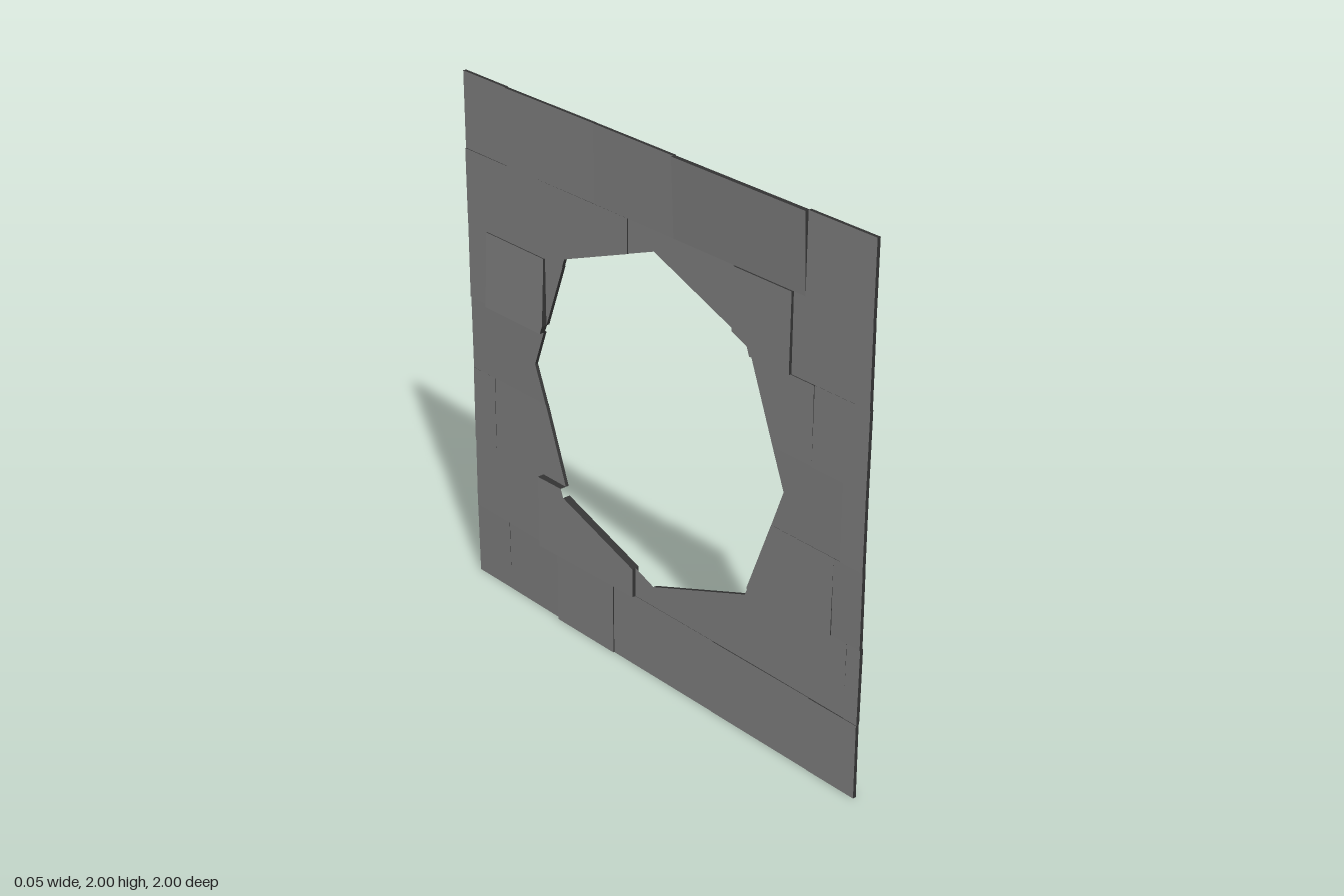
import * as THREE from 'three';

// Octagonal opening, corners on the axes and on the diagonals
const CY = 1, COURSE = 2 / 7, SIDES = 8;
const corners = Array.from({ length: SIDES }, (_, i) => {
  const a = i * 2 * Math.PI / SIDES, r = i % 2 ? 0.652 : 0.636;
  return [r * Math.cos(a), CY + r * Math.sin(a)];
});
const edges = corners.map((a, i) => {
  const b = corners[(i + 1) % SIDES];
  return ([z, y]) => (b[1] - a[1]) * (z - a[0]) - (b[0] - a[0]) * (y - a[1]); // > 0 outside
});

// Joint positions along z in each course, bottom to top
const joints = [
  [0.78, 0.31, -0.21, -0.52, -0.81],
  [0.94, 0.565, -0.095, -0.6],
  [0.87, -0.875],
  [0.9, -0.955],
  [0.76, -0.57, -0.89],
  [0.935, 0.655, 0.39, -0.13],
  [0.71, 0.1, -0.295, -0.765],
];

// Blocks standing out at the back: 'course,index': [back x, slope along z, slope along y, thickness]
const proud = {
  '0,3': [-0.003, 0.005, 0.005, 0.017],
  '1,3': [-0.017, 0.027, 0, 0.03],
  '4,2': [-0.008, 0, 0.048, 0.023],
  '5,2': [-0.005, 0, 0.01, 0.018],
  '6,1': [-0.003, 0, -0.042, 0.018],
};

let seed = 7;
const rand = () => (seed = (seed * 16807) % 2147483647) / 2147483647 - 0.5;

// Keeps the part of a convex polygon where f >= 0
function clip(poly, f) {
  const out = [];
  poly.forEach((p, i) => {
    const q = poly[(i + 1) % poly.length], a = f(p), b = f(q);
    if (a >= 0) out.push(p);
    if (a * b < 0) {
      const t = a / (a - b);
      out.push([p[0] + (q[0] - p[0]) * t, p[1] + (q[1] - p[1]) * t]);
    }
  });
  return out;
}

// Convex pieces of a rectangle with the opening taken away
function cutPieces(rect) {
  const pieces = [];
  let rest = rect;
  for (const e of edges) {
    const piece = clip(rest, e);
    if (piece.length > 2) pieces.push(piece);
    rest = clip(rest, p => -e(p));
    if (rest.length < 3) break;
  }
  return pieces;
}

// Thin block from the plane x = back([z, y]) towards +x; group 0 is its faces, group 1 its ends
function blockGeometry(z0, z1, y0, y1, back, thickness) {
  const faces = [], ends = [];
  const B = p => [back(p), p[1], p[0]], F = p => [back(p) + thickness, p[1], p[0]];
  const near = (a, b) => Math.abs(a - b) < 1e-5;
  for (const poly of cutPieces([[z0, y0], [z1, y0], [z1, y1], [z0, y1]])) {
    for (let i = 1; i < poly.length - 1; i++) {
      const [a, b, c] = [poly[0], poly[i], poly[i + 1]];
      faces.push(...F(a), ...F(c), ...F(b), ...B(a), ...B(b), ...B(c));
    }
    poly.forEach((p, i) => {
      const q = poly[(i + 1) % poly.length];
      const m = [(p[0] + q[0]) / 2, (p[1] + q[1]) / 2];
      const border = near(m[0], z0) || near(m[0], z1) || near(m[1], y0) || near(m[1], y1);
      const onHole = near(Math.max(...edges.map(e => e(m))), 0);
      if (border || onHole) ends.push(...F(p), ...F(q), ...B(q), ...F(p), ...B(q), ...B(p));
    });
  }
  const g = new THREE.BufferGeometry();
  g.setAttribute('position', new THREE.Float32BufferAttribute([...faces, ...ends], 3));
  g.addGroup(0, faces.length / 3, 0);
  g.addGroup(faces.length / 3, ends.length / 3, 1);
  g.computeVertexNormals();
  return g;
}

export function createModel() {
  const wall = new THREE.Group();
  wall.name = 'stoneWall';
  const materials = [0x848484, 0x333333].map(color => new THREE.MeshStandardMaterial({ color, flatShading: true }));

  joints.forEach((cuts, row) => {
    const course = new THREE.Group();
    course.name = `course${row + 1}`;
    const ends = [1, ...cuts, -1];
    const y0 = row * COURSE, y1 = y0 + COURSE;
    for (let i = 0; i < ends.length - 1; i++) {
      const z1 = ends[i], z0 = ends[i + 1];
      const cz = (z0 + z1) / 2, cy = (y0 + y1) / 2;
      // Each block is set slightly askew
      const askew = [0.004 + rand() * 0.005, rand() * 0.012, rand() * 0.024, 0.013];
      const [x, sz, sy, thickness] = proud[`${row},${i}`] ?? askew;
      const back = ([z, y]) => x + (z - cz) * sz + (y - cy) * sy;
      const block = new THREE.Mesh(blockGeometry(z0, z1, y0, y1, back, thickness), materials);
      block.name = 'stoneBlock';
      course.add(block);
    }
    wall.add(course);
  });
  return wall;
}
